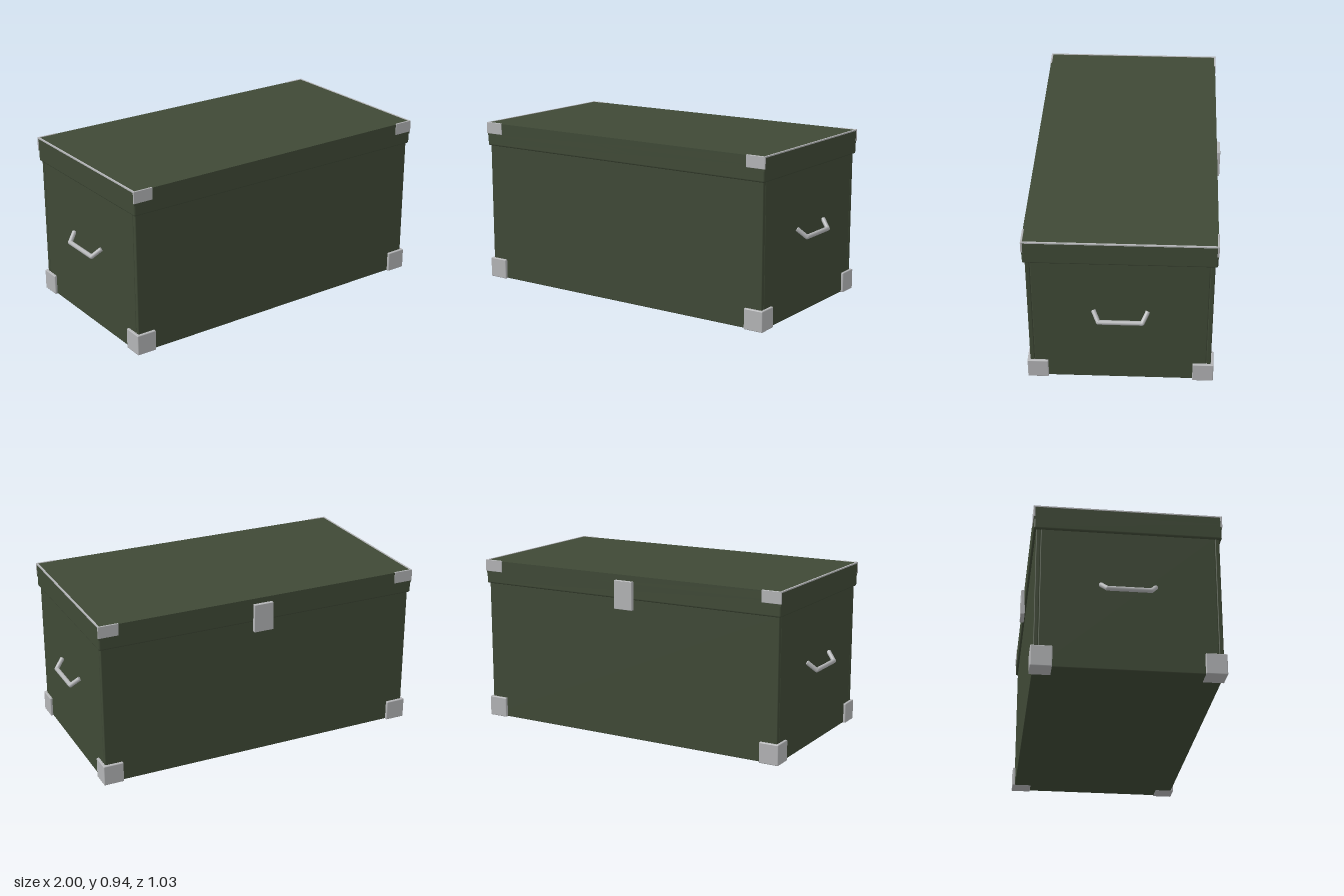
import * as THREE from 'three';
import { RoundedBoxGeometry } from 'three/addons/geometries/RoundedBoxGeometry.js';

const green = new THREE.MeshStandardMaterial({ color: 0x3f4936 });
green.name = 'olive green paint';
const steel = new THREE.MeshStandardMaterial({ color: 0xb3b4b6 });
steel.name = 'pale steel';

// Softened box given by its extents on each axis
function block(parent, name, material, [x0, x1], [y0, y1], [z0, z1], radius = 0) {
  const size = [x1 - x0, y1 - y0, z1 - z0];
  const geometry = radius
    ? new RoundedBoxGeometry(...size, 2, radius)
    : new THREE.BoxGeometry(...size);
  const mesh = new THREE.Mesh(geometry, material);
  mesh.name = name;
  mesh.position.set((x0 + x1) / 2, (y0 + y1) / 2, (z0 + z1) / 2);
  parent.add(mesh);
  return mesh;
}

// Interval from a to b, mirrored to the given side
const span = (side, a, b) => (side > 0 ? [a, b] : [-b, -a]);

// Bent rod handle, built from straight rods with round joints
function makeHandle(side) {
  const handle = new THREE.Group();
  handle.name = side > 0 ? 'leftHandle' : 'rightHandle';
  const radius = 0.0125;
  const points = [
    [0.94, 0.486, 0.15], [0.986, 0.442, 0.121],
    [0.986, 0.442, -0.111], [0.94, 0.486, -0.14],
  ].map(([x, y, z]) => new THREE.Vector3(side * x, y, z));
  const up = new THREE.Vector3(0, 1, 0);
  for (let i = 0; i < 3; i++) {
    const direction = points[i + 1].clone().sub(points[i]);
    const rod = new THREE.Mesh(
      new THREE.CylinderGeometry(radius, radius, direction.length(), 16), steel);
    rod.name = i === 1 ? 'handleGrip' : 'handleArm';
    rod.position.copy(points[i]).add(points[i + 1]).multiplyScalar(0.5);
    rod.quaternion.setFromUnitVectors(up, direction.normalize());
    handle.add(rod);
  }
  for (const point of points.slice(1, 3)) {
    const joint = new THREE.Mesh(new THREE.SphereGeometry(radius, 16, 10), steel);
    joint.name = 'handleBend';
    joint.position.copy(point);
    handle.add(joint);
  }
  return handle;
}

export function createModel() {
  const model = new THREE.Group();
  model.name = 'storageTrunk';

  // The trunk itself sits slightly forward, leaving room for the rear clasp
  const trunk = new THREE.Group();
  trunk.name = 'trunk';
  trunk.position.z = 0.0075;
  model.add(trunk);

  // Body: core, floor and softened wall panels whose edges form the seams
  block(trunk, 'bodyCore', green, [-0.925, 0.925], [0.002, 0.82], [-0.485, 0.485]);
  for (const side of [1, -1]) {
    block(trunk, side > 0 ? 'frontPanel' : 'backPanel', green,
      [-0.936, 0.936], [0.002, 0.81], span(side, 0.468, 0.4925), 0.005);
    block(trunk, 'endPanel', green,
      span(side, 0.91, 0.936), [0.002, 0.81], [-0.4675, 0.4675], 0.005);
  }

  // Lid: a crisp top above a softened lower rim
  block(trunk, 'lidRim', green, [-0.948, 0.948], [0.8, 0.9], [-0.5055, 0.5055], 0.01);
  block(trunk, 'lidTop', green, [-0.948, 0.948], [0.86, 0.936], [-0.5055, 0.5055]);

  // Steel corners, lid plates and end trims
  for (const sx of [1, -1]) {
    block(trunk, 'lidEndTrim', steel,
      span(sx, 0.94, 0.95), [0.931, 0.938], [-0.508, 0.508]);
    for (const sz of [1, -1]) {
      block(trunk, 'footCorner', steel,
        span(sx, 0.835, 0.95), [0, 0.116], span(sz, 0.394, 0.508), 0.005);
      block(trunk, 'lidCornerPlate', steel,
        span(sx, 0.837, 0.951), [0.872, 0.939], span(sz, 0.499, 0.509), 0.002);
    }
    model.add(makeHandle(sx));
  }

  // Clasp hanging over the lid seam at the back
  block(model, 'clasp', steel, [-0.057, 0.057], [0.745, 0.905], [-0.518, -0.494], 0.002);

  return model;
}
